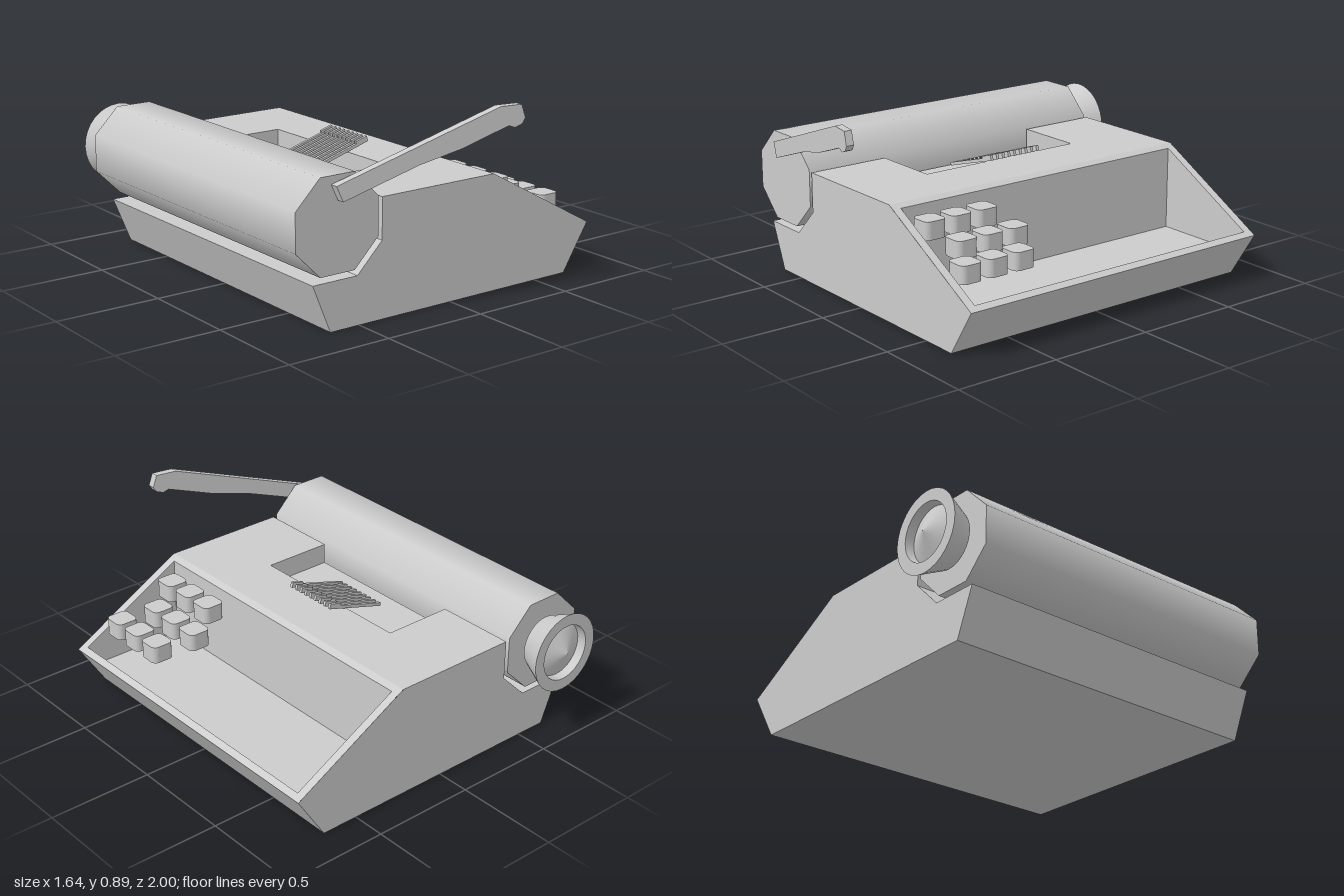
import * as THREE from 'three';

const material = new THREE.MeshStandardMaterial({ color: 0xcccccc });
const Z0 = -0.84, Z1 = 0.8; // back and front of the casing

function add(parent, name, geometry) {
  const mesh = new THREE.Mesh(geometry, material);
  mesh.name = name;
  parent.add(mesh);
  return mesh;
}

const shapeOf = (pts) => new THREE.Shape(pts.map(([x, y]) => new THREE.Vector2(x, y)));

// Runs an open x/y path along z; the surface faces the right of the path
function sweep(path, z0, z1) {
  const pos = [];
  for (let i = 0; i < path.length - 1; i++) {
    const [a, b] = [path[i], path[i + 1]];
    pos.push(...a, z0, ...b, z0, ...b, z1, ...a, z0, ...b, z1, ...a, z1);
  }
  const g = new THREE.BufferGeometry();
  g.setAttribute('position', new THREE.Float32BufferAttribute(pos, 3));
  g.computeVertexNormals();
  return g;
}

// Flat end wall at z, facing +z or -z
function endWall(pts, z, facing) {
  const g = new THREE.ShapeGeometry(shapeOf(pts));
  if (facing < 0) {
    const index = g.index.array;
    for (let i = 0; i < index.length; i += 3) [index[i], index[i + 1]] = [index[i + 1], index[i]];
    g.computeVertexNormals();
  }
  return g.translate(0, 0, z);
}

function createCasing() {
  const casing = new THREE.Group();
  casing.name = 'casing';
  const lip = [0.82, 0.22], brow = [0.24, 0.54], deckEnd = [-0.38, 0.54];
  const shell = [[-0.38, 0.35], [-0.51, 0.22], [-0.74, 0.22], [-0.65, 0], [0.68, 0], lip];
  const outline = [...shell, brow, deckEnd];

  add(casing, 'shell', sweep(shell, Z0, Z1));
  add(casing, 'frontSide', endWall(outline, Z1, 1));
  add(casing, 'backSide', endWall(outline, Z0, -1));

  // Sloping face with the key well sunk into it
  const wellZ0 = -0.8, wellZ1 = 0.76;
  const well = [[0.79, 0.237], [0.715, 0.13], [0.27, 0.13], [0.27, 0.524]];
  const slope = [well[0], well[3]];
  add(casing, 'lowerRim', sweep([lip, well[0]], Z0, Z1));
  add(casing, 'upperRim', sweep([well[3], brow], Z0, Z1));
  add(casing, 'backRim', sweep(slope, Z0, wellZ0));
  add(casing, 'frontRim', sweep(slope, wellZ1, Z1));
  add(casing, 'keyWell', sweep(well, wellZ0, wellZ1));
  add(casing, 'keyWellBackWall', endWall(well, wellZ0, 1));
  add(casing, 'keyWellFrontWall', endWall(well, wellZ1, -1));

  // Top deck with the type bar recess, open towards the roller
  const recZ0 = -0.45, recZ1 = 0.4, edge = [-0.04, 0.54];
  const recess = [edge, [-0.04, 0.44], [-0.38, 0.44]];
  const deckAndDrop = [edge, deckEnd, shell[0]];
  add(casing, 'deck', sweep([brow, edge], Z0, Z1));
  add(casing, 'backDeck', sweep(deckAndDrop, Z0, recZ0));
  add(casing, 'frontDeck', sweep(deckAndDrop, recZ1, Z1));
  add(casing, 'typeRecess', sweep([...recess, shell[0]], recZ0, recZ1));
  const recessSide = [deckEnd, recess[2], recess[1], edge];
  add(casing, 'typeRecessBackWall', endWall(recessSide, recZ0, 1));
  add(casing, 'typeRecessFrontWall', endWall(recessSide, recZ1, -1));
  return casing;
}

function createRoller() {
  const roller = new THREE.Group();
  roller.name = 'rollerAssembly';
  roller.position.set(-0.6125, 0.46, 0);

  const drum = new THREE.CylinderGeometry(0.23, 0.23, Z1 - Z0, 8);
  drum.rotateY(Math.PI / 8).rotateX(Math.PI / 2).translate(0, 0, (Z0 + Z1) / 2);
  add(roller, 'roller', drum);

  // Flared knob, hollowed at the end around a shallow cone; each section keeps sharp edges
  const profile = [[0, 0.857], [0.13, 0.857], [0.19, 0.985], [0.135, 0.985], [0.13, 0.943], [0, 1]];
  const knob = new THREE.Group();
  knob.name = 'knob';
  for (let i = 0; i < profile.length - 1; i++) {
    const pair = [profile[i], profile[i + 1]].map(([r, h]) => new THREE.Vector2(r, h));
    add(knob, 'knobSection', new THREE.LatheGeometry(pair, 32).rotateX(-Math.PI / 2));
  }
  roller.add(knob);
  return roller;
}

// Return lever: flat bar slanting away from the casing towards its tip
function createLever() {
  const shape = shapeOf([
    [-0.645, 0.635], [-0.615, 0.565], [-0.27, 0.68], [-0.07, 0.728], [0.15, 0.803],
    [0.18, 0.792], [0.215, 0.805], [0.23, 0.83], [0.21, 0.89], [0.11, 0.89],
  ]);
  const g = new THREE.ExtrudeGeometry(shape, { depth: 0.037, bevelEnabled: false });
  const p = g.attributes.position;
  for (let i = 0; i < p.count; i++) p.setZ(i, p.getZ(i) + 0.8 + (p.getX(i) + 0.645) * 0.187);
  g.computeVertexNormals();
  return g;
}

function createTypeBars() {
  const bars = new THREE.Group();
  bars.name = 'typeBars';
  const shape = shapeOf([
    [-0.24, 0.485], [0, 0.557], [0.07, 0.578], [0.063, 0.603],
    [0, 0.584], [0.003, 0.574], [-0.244, 0.5],
  ]);
  const g = new THREE.ExtrudeGeometry(shape, { depth: 0.014, bevelEnabled: false });
  for (let i = 0; i < 9; i++) add(bars, 'typeBar', g).position.z = -0.163 + i * 0.0335;
  return bars;
}

function createKeys() {
  const keys = new THREE.Group();
  keys.name = 'keys';
  const h = 0.055, r = 0.027;
  const shape = new THREE.Shape();
  shape.absarc(h - r, h - r, r, 0, Math.PI / 2);
  shape.absarc(r - h, h - r, r, Math.PI / 2, Math.PI);
  shape.absarc(r - h, r - h, r, Math.PI, Math.PI * 1.5);
  shape.absarc(h - r, r - h, r, Math.PI * 1.5, Math.PI * 2);
  const g = new THREE.ExtrudeGeometry(shape, { depth: 0.083, bevelEnabled: false, curveSegments: 4 });
  g.rotateX(-Math.PI / 2);
  // Each row: x, underside y, z of its first key
  for (const [x, y, z] of [[0.35, 0.402, 0.388], [0.485, 0.338, 0.32], [0.633, 0.288, 0.41]]) {
    for (let i = 0; i < 3; i++) add(keys, 'key', g).position.set(x, y, z + i * 0.14);
  }
  return keys;
}

export function createModel() {
  const model = new THREE.Group();
  model.name = 'typewriter';
  model.add(createCasing(), createRoller(), createTypeBars(), createKeys());
  add(model, 'returnLever', createLever());
  return model;
}
